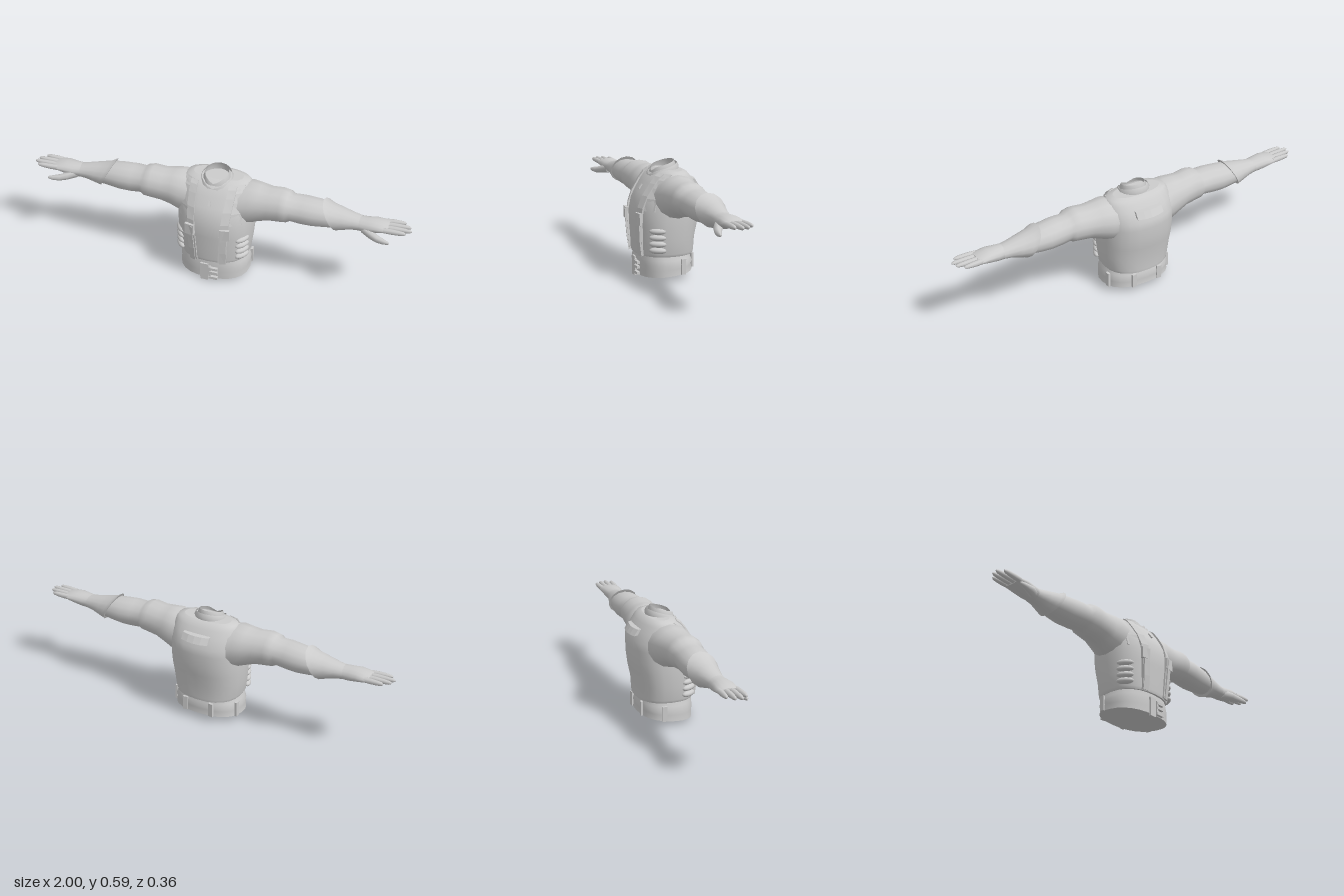
import * as THREE from 'three';

const grey = new THREE.MeshStandardMaterial({ color: 0xcccccc, side: THREE.DoubleSide });
const V = (x, y, z) => new THREE.Vector3(x, y, z);

// Skin a list of rings (counter-clockwise around the direction of travel), capping both ends
function loft(rings, { flat = false, caps = true } = {}) {
  const n = rings[0].length, pos = [], idx = [];
  rings.forEach(r => r.forEach(p => pos.push(p.x, p.y, p.z)));
  for (let i = 0; i < rings.length - 1; i++) for (let j = 0; j < n; j++) {
    const a = i * n + j, b = i * n + (j + 1) % n, c = a + n, d = b + n;
    idx.push(a, b, c, b, d, c);
  }
  if (caps) [rings[0], rings[rings.length - 1]].forEach((r, end) => {
    const base = pos.length / 3, mid = V(0, 0, 0);
    r.forEach(p => { mid.addScaledVector(p, 1 / n); pos.push(p.x, p.y, p.z); });
    pos.push(mid.x, mid.y, mid.z);
    for (let j = 0; j < n; j++) {
      const a = base + j, b = base + (j + 1) % n;
      idx.push(base + n, end ? a : b, end ? b : a);
    }
  });
  let g = new THREE.BufferGeometry();
  g.setAttribute('position', new THREE.Float32BufferAttribute(pos, 3));
  g.setIndex(idx);
  if (flat) g = g.toNonIndexed();
  g.computeVertexNormals();
  return g;
}
const side = (rings, s) => s > 0 ? rings : rings.map(r => r.map(p => V(-p.x, p.y, p.z)).reverse());

function mesh(name, geo, parent) {
  const m = new THREE.Mesh(geo, grey);
  m.name = name;
  parent.add(m);
  return m;
}
function box(name, w, h, d, x, y, z, parent, ry = 0, rx = 0) {
  const m = mesh(name, new THREE.BoxGeometry(w, h, d), parent);
  m.position.set(x, y, z);
  m.rotation.set(rx, ry, 0);
  return m;
}

// Horizontal body section: half width, front z, back z, squareness
const POW = 2.4;
function bodyRing(y, w, zf, zb, tilt = 0, n = 24) {
  return Array.from({ length: n }, (_, i) => {
    const t = i / n * Math.PI * 2, c = Math.cos(t), s = Math.sin(t);
    const z = (zf + zb) / 2 + Math.sign(c) * Math.abs(c) ** (2 / POW) * (zf - zb) / 2;
    return V(Math.sign(s) * Math.abs(s) ** (2 / POW) * w, y - tilt * z, z);
  });
}
// Section across the arm: x, top, bottom, front z, back z, slant of the section
function armRing([x, top, bot, zf, zb, slant = 0], n = 14) {
  return Array.from({ length: n }, (_, i) => {
    const t = i / n * Math.PI * 2, c = Math.cos(t);
    return V(x - slant * c, (top + bot) / 2 + c * (top - bot) / 2, (zf + zb) / 2 + Math.sin(t) * (zf - zb) / 2);
  });
}

const TORSO = [
  [0.125, 0.172, 0.152, -0.145], [0.14, 0.18, 0.156, -0.147], [0.21, 0.19, 0.158, -0.150],
  [0.28, 0.196, 0.163, -0.165], [0.34, 0.198, 0.164, -0.173], [0.40, 0.197, 0.152, -0.175],
  [0.44, 0.195, 0.132, -0.173], [0.49, 0.188, 0.100, -0.148], [0.525, 0.178, 0.074, -0.122],
  [0.545, 0.162, 0.048, -0.105], [0.553, 0.13, 0.025, -0.085],
];
// Depth of the vest front at a given x and y
function frontZ(x, y) {
  let i = 0;
  while (i < TORSO.length - 2 && TORSO[i + 1][0] < y) i++;
  const a = TORSO[i], b = TORSO[i + 1], k = (y - a[0]) / (b[0] - a[0]);
  const [, w, zf, zb] = a.map((v, j) => v + (b[j] - v) * k);
  return (zf + zb) / 2 + (zf - zb) / 2 * Math.max(0, 1 - Math.abs(x / w) ** POW) ** (1 / POW);
}
// Webbing that follows the vest front; path entries are [x, y, thickness]
function strap(path, width) {
  return path.map(([x, y, t]) => {
    const slope = (frontZ(x, y + 0.006) - frontZ(x, y - 0.006)) / 0.012;
    const nrm = V(0, -slope, 1).normalize();
    const pt = (dx, off) => V(x + dx, y, frontZ(x + dx, y)).addScaledVector(nrm, off);
    const h = width / 2;
    return [pt(-h, -0.012), pt(-h, t), pt(h, t), pt(h, -0.012)];
  });
}

function buildArm(s) {
  const arm = new THREE.Group();
  arm.name = s > 0 ? 'leftArm' : 'rightArm';
  const part = (name, list, n) => mesh(name, loft(side(list.map(r => armRing(r, n)), s)), arm);
  // Sleeve with a puffed shoulder and a fold above the elbow
  part('sleeve', [
    [0.12, 0.53, 0.31, 0.10, -0.13], [0.18, 0.545, 0.32, 0.10, -0.125], [0.23, 0.54, 0.34, 0.09, -0.112],
    [0.28, 0.533, 0.358, 0.088, -0.10], [0.34, 0.54, 0.365, 0.09, -0.096], [0.375, 0.532, 0.37, 0.088, -0.092],
    [0.395, 0.518, 0.382, 0.076, -0.083], [0.45, 0.52, 0.376, 0.078, -0.087], [0.51, 0.515, 0.374, 0.074, -0.088],
    [0.57, 0.508, 0.38, 0.066, -0.083], [0.64, 0.492, 0.388, 0.055, -0.07], [0.70, 0.478, 0.395, 0.047, -0.055],
  ]);
  // Gauntlet with a slanted flaring cuff
  part('gauntletCuff', [
    [0.592, 0.525, 0.372, 0.07, -0.088, 0.042], [0.615, 0.506, 0.378, 0.065, -0.081, 0.032],
    [0.66, 0.492, 0.386, 0.056, -0.068, 0.015], [0.71, 0.477, 0.396, 0.047, -0.054], [0.76, 0.468, 0.402, 0.044, -0.045],
  ]);
  part('palm', [
    [0.74, 0.471, 0.400, 0.045, -0.046], [0.78, 0.472, 0.401, 0.052, -0.048], [0.82, 0.474, 0.411, 0.056, -0.054],
    [0.86, 0.467, 0.422, 0.055, -0.056], [0.885, 0.460, 0.430, 0.052, -0.053],
  ]);
  // Four fingers, front to back
  [[0.040, 0.975], [0.014, 1.0], [-0.013, 0.992], [-0.040, 0.962]].forEach(([z, tip]) => {
    const r = 0.0135;
    part('finger', [0, 0.35, 0.7, 0.92, 1].map((k, i) => {
      const q = r * [1, 1.05, 0.9, 0.7, 0.25][i], y = 0.446 + 0.004 * k, zz = z * (1 + 0.12 * k);
      return [0.865 + (tip - 0.865) * k, y + q, y - q, zz + q, zz - q];
    }), 8);
  });
  // Thumb
  part('thumb', [
    [0.755, 0.45, 0.402, 0.045, 0.0], [0.80, 0.438, 0.394, 0.072, 0.022], [0.84, 0.425, 0.389, 0.085, 0.046],
    [0.875, 0.418, 0.391, 0.089, 0.063], [0.898, 0.412, 0.396, 0.088, 0.073], [0.904, 0.407, 0.401, 0.084, 0.078],
  ], 8);
  return arm;
}

// Open standing collar, tilted up at the back and dipping to a notch at the front
function collar(rTop, rBot, top, bottom, notch) {
  const n = 18, ring = (r, y, tilt, dip) => Array.from({ length: n }, (_, i) => {
    const t = i / n * Math.PI * 2, c = Math.cos(t);
    return V(Math.sin(t) * r, y - tilt * c * r - dip * Math.max(0, c) ** 8, c * r);
  });
  return loft([ring(rBot, bottom, 0.22, notch), ring((rTop + rBot) / 2 + 0.004, (top + bottom) / 2, 0.25, notch * 0.9),
    ring(rTop, top, 0.28, notch * 0.7)], { caps: false });
}

export function createModel() {
  const model = new THREE.Group();
  model.name = 'vestedTorso';

  mesh('vest', loft(TORSO.map(r => bodyRing(...r))), model);
  mesh('outerCollar', collar(0.076, 0.084, 0.564, 0.532, 0.028), model);
  mesh('innerCollar', collar(0.06, 0.068, 0.58, 0.54, 0.03), model);
  box('zipPull', 0.012, 0.03, 0.008, 0, 0.465, frontZ(0, 0.465) + 0.003, model, 0, -0.6);

  // Waistband with a belt step and tilted hem
  mesh('waistband', loft([
    bodyRing(0.028, 0.184, 0.145, -0.137, 0.09), bodyRing(0.06, 0.181, 0.145, -0.133, 0.06),
    bodyRing(0.082, 0.184, 0.146, -0.138, 0.02), bodyRing(0.105, 0.176, 0.143, -0.13), bodyRing(0.135, 0.168, 0.14, -0.125),
  ]), model);

  // Belt buckle: hanging tongue and a three-pronged clasp
  const buckle = new THREE.Group();
  buckle.name = 'beltBuckle';
  box('tongue', 0.042, 0.1, 0.012, -0.02, 0.052, 0.146, buckle);
  box('claspBar', 0.012, 0.075, 0.012, 0.01, 0.055, 0.149, buckle);
  [0.025, 0.056, 0.08].forEach(y => box('prong', 0.045, 0.014, 0.016, 0.03, y, 0.151, buckle));
  model.add(buckle);

  for (const s of [1, -1]) {
    model.add(buildArm(s));
    // Front harness: long strap, wide shoulder panel, buckle and lower hanging panel
    mesh('harnessStrap', loft(side(strap([[0.075, 0.13, 0.01], [0.08, 0.21, 0.01], [0.085, 0.3, 0.01], [0.09, 0.37, 0.01],
      [0.095, 0.43, 0.009], [0.1, 0.49, 0.008], [0.1, 0.525, 0.006], [0.1, 0.54, 0.004]], 0.04), s), { flat: true }), model);
    mesh('shoulderPanel', loft(side(strap([[0.135, 0.36, 0.002], [0.135, 0.42, 0.005], [0.13, 0.47, 0.006],
      [0.128, 0.51, 0.006], [0.128, 0.54, 0.004]], 0.055), s), { flat: true }), model);
    mesh('lowerPanel', loft(side(strap([[0.08, 0.128, 0.014], [0.083, 0.2, 0.017], [0.088, 0.28, 0.018],
      [0.09, 0.34, 0.02]], 0.03), s), { flat: true }), model);
    box('strapBuckle', 0.05, 0.06, 0.016, s * 0.092, 0.318, frontZ(0.092, 0.318) + 0.011, model, s * 0.15);
    // Stack of cartridge pouches on the flank
    for (let i = 0; i < 4; i++) {
      const m = mesh('pouch', new THREE.SphereGeometry(1, 12, 8), model);
      m.scale.set(0.022, 0.017, 0.045);
      m.position.set(s * 0.163, 0.163 + i * 0.033, 0.088);
      m.rotation.y = -s * 0.55;
    }
    // Belt loops
    box('sideBeltLoop', 0.012, 0.08, 0.025, s * 0.179, 0.072, -0.045, model, s * 0.1);
    box('rearBeltLoop', 0.025, 0.075, 0.012, s * 0.075, 0.078, -0.133, model, s * 0.12);
  }

  // Curved flap standing off the upper back
  const flap = [-1, -0.5, 0, 0.5, 1].map(k => {
    const x = k * 0.075, b = 0.014 * k * k;
    return [V(x, 0.503, -0.135 + b), V(x, 0.5, -0.163 + b), V(x, 0.468, -0.184 + b), V(x, 0.474, -0.15 + b)];
  });
  mesh('backFlap', loft(flap.map(r => r.reverse()), { flat: true }), model);
  return model;
}
